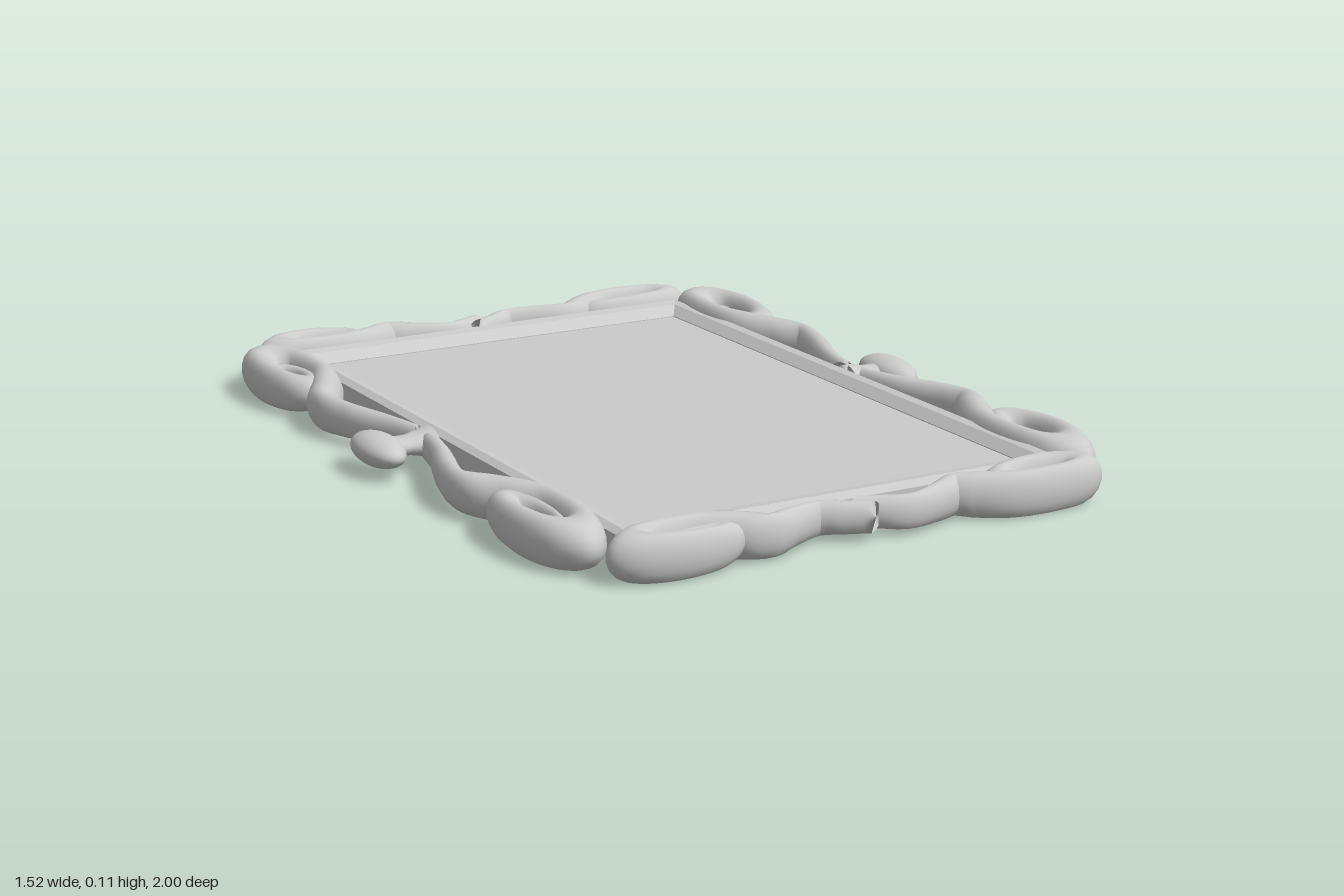
import * as THREE from 'three';

const material = new THREE.MeshStandardMaterial({ color: 0xcccccc, side: THREE.DoubleSide });
const { lerp, smoothstep } = THREE.MathUtils;

// Curl in unit space: [along, across]; along points to the tail, across to the main strand
const CURL = [[0.24, 0.3], [0, 0.34], [-0.24, 0.25], [-0.33, 0], [-0.23, -0.24], [0, -0.33],
  [0.23, -0.25], [0.32, -0.04], [0.2, 0.13], [0, 0.17], [-0.14, 0.06], [-0.15, -0.06], [-0.05, -0.16]];
const SIDE_TAIL = [[1.54, 0.28], [1.27, 0.13], [0.93, -0.15], [0.72, -0.24], [0.5, 0.02]];
const END_TAIL = [[1.42, -0.2], [1.27, -0.02], [1.08, 0.2], [0.82, 0.02], [0.62, -0.18], [0.46, 0.06]];

// Tapered tube through the points, thickest around the outer turn of the curl
function taperedTube(points) {
  const n = 110, sides = 18;
  const curve = new THREE.CatmullRomCurve3(points, false, 'centripetal');
  const geo = new THREE.TubeGeometry(curve, n, 1, sides);
  const pos = geo.attributes.position;
  const v = new THREE.Vector3();
  for (let i = 0; i <= n; i++) {
    const t = i / n, c = curve.getPointAt(t);
    let r = lerp(0.12, 0.18, smoothstep(t, 0, 0.4)) - 0.11 * smoothstep(t, 0.65, 1);
    if (i === 0 || i === n) r = 0;
    for (let j = 0; j <= sides; j++) {
      const k = i * (sides + 1) + j;
      v.fromBufferAttribute(pos, k).sub(c).multiplyScalar(r).add(c);
      pos.setXYZ(k, v.x, v.y, v.z);
    }
  }
  return geo;
}

function addMesh(group, name, geo, x = 0, y = 0, z = 0) {
  const mesh = new THREE.Mesh(geo, material);
  mesh.name = name;
  mesh.position.set(x, y, z);
  group.add(mesh);
  return mesh;
}

export function createModel() {
  const group = new THREE.Group();
  group.name = 'ornateFrame';
  const midX = 0.012, midZ = -0.03, midY = 0.056;

  // Rectangular moulding: a four-sided lathe stretched to the frame's proportions
  const profile = [[0.89, 0.045], [0.9, 0.022], [0.97, 0.016], [1, 0.03], [1, 0.075],
    [0.97, 0.085], [0.935, 0.081], [0.89, 0.06], [0.89, 0.045]]
    .map(([r, y]) => new THREE.Vector2(r * Math.SQRT2, y));
  let rail = new THREE.LatheGeometry(profile, 4);
  rail.rotateY(Math.PI / 4);
  rail.scale(0.575, 1, 0.88);
  rail = rail.toNonIndexed();
  rail.computeVertexNormals();
  addMesh(group, 'moulding', rail, midX, 0, -0.01);

  // Flat panel inside the moulding
  addMesh(group, 'panel', new THREE.BoxGeometry(1.04, 0.016, 1.59), midX, 0.05, -0.01);

  for (const sx of [-1, 1]) {
    for (const sz of [-1, 1]) {
      // Long-side scroll: tail at the knob, curl at the corner
      const side = taperedTube([...SIDE_TAIL, ...CURL].map(([p, q]) =>
        new THREE.Vector3(-sx * q, 0, -sz * p)));
      side.scale(0.175, 0.306, 0.43);
      addMesh(group, 'sideScroll', side, 0.005 + sx * 0.642, midY, midZ + sz * 0.685);

      // Short-side scroll: the wave is inverted on the left half
      const flip = sx > 0 ? -1 : 1;
      const end = taperedTube([...END_TAIL, ...CURL].map(([p, q]) =>
        new THREE.Vector3(-sx * p, 0, -sz * q * flip)));
      end.scale(0.335, 0.306, 0.138);
      addMesh(group, 'endScroll', end, sx * 0.463, midY, sz * 0.93);
    }

    // Oval knob and its waisted stem halfway along each long side
    const knob = new THREE.SphereGeometry(1, 32, 20);
    knob.scale(0.052, 0.038, 0.107);
    addMesh(group, 'knob', knob, sx * 0.708, 0.06, midZ);

    const stemProfile = [[0.062, -0.06], [0.05, -0.035], [0.038, 0], [0.038, 0.03], [0.045, 0.06]]
      .map(([r, y]) => new THREE.Vector2(r, y));
    const stem = new THREE.LatheGeometry(stemProfile, 24);
    stem.rotateZ(-sx * Math.PI / 2);
    stem.scale(1, 0.6, 1);
    addMesh(group, 'knobStem', stem, sx * 0.635, 0.06, midZ);
  }
  return group;
}
